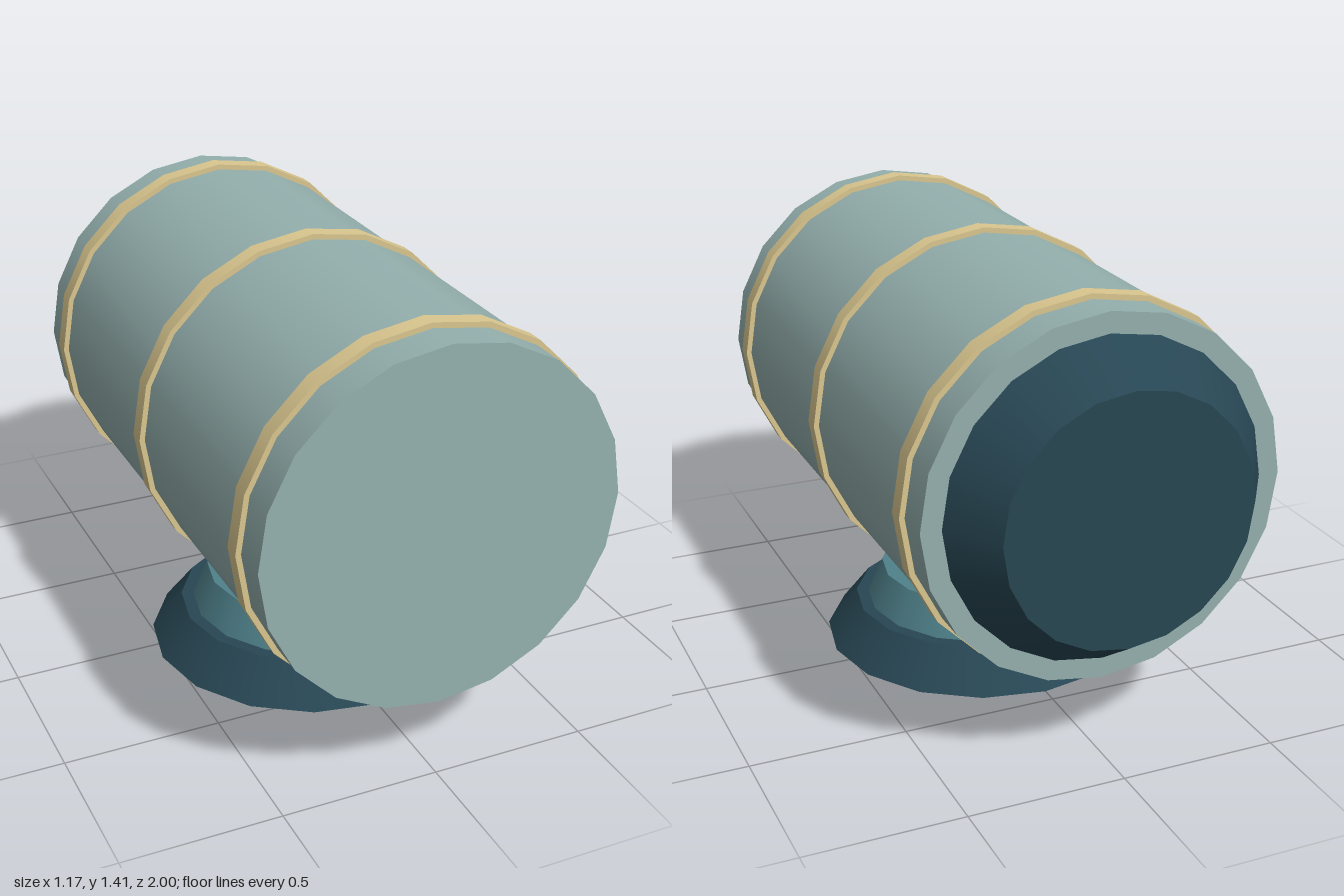
import * as THREE from 'three';

const AXIS_Y = 0.825;  // height of the barrel axis
const MID_Z = 0.083;   // middle ring and pedestal centre

const paint = (color) => new THREE.MeshStandardMaterial({ color });

export function createModel() {
  const model = new THREE.Group();
  const shell = paint(0x94b0ae);
  const brass = paint(0xdac78f);
  const dark = paint(0x274653);
  const teal = paint(0x4f818b);

  function add(name, geometry, material) {
    const mesh = new THREE.Mesh(geometry, material);
    mesh.name = name;
    model.add(mesh);
  }

  // Cylinder or cone lying along z, between two z positions
  function lying(name, rFront, rBack, zFront, zBack, material) {
    const geometry = new THREE.CylinderGeometry(rFront, rBack, zFront - zBack, 20);
    geometry.rotateX(Math.PI / 2);
    geometry.translate(0, AXIS_Y, (zFront + zBack) / 2);
    add(name, geometry, material);
  }

  // Upright tapered disc of the pedestal
  function standing(name, rTop, rBottom, y0, y1, material) {
    const geometry = new THREE.CylinderGeometry(rTop, rBottom, y1 - y0, 16);
    geometry.translate(0, (y0 + y1) / 2, MID_Z);
    add(name, geometry, material);
  }

  // Barrel with its tapered rear cap
  lying('barrel', 0.57, 0.57, 1, -0.835, shell);
  lying('rearCap', 0.505, 0.393, -0.835, -1, dark);

  // Three evenly spaced bands
  ['rearBand', 'middleBand', 'frontBand'].forEach((name, i) => {
    const z = MID_Z + (i - 1) * 0.772;
    lying(name, 0.587, 0.587, z + 0.028, z - 0.028, brass);
  });

  // Two-step pedestal
  standing('pedestalFoot', 0.43, 0.53, 0, 0.127, dark);
  standing('pedestalCollar', 0.34, 0.39, 0.127, 0.242, teal);

  return model;
}
